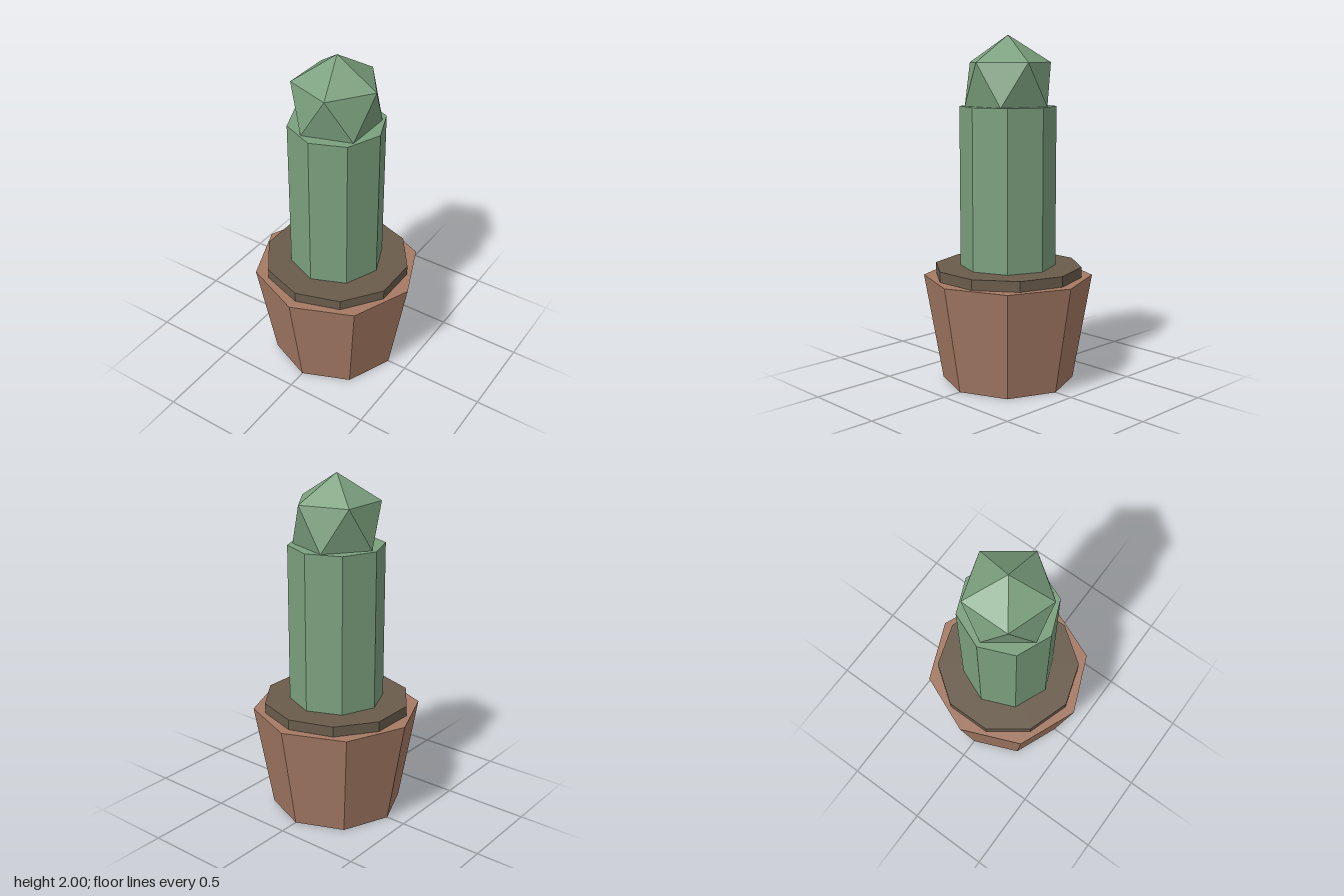
import * as THREE from 'three';

function addPart(group, name, geometry, color, y) {
  const material = new THREE.MeshStandardMaterial({ color, flatShading: true });
  const mesh = new THREE.Mesh(geometry, material);
  mesh.name = name;
  mesh.position.y = y;
  group.add(mesh);
}

// Faceted cylinder spanning bottom to top
function addPrism(group, name, rTop, rBottom, bottom, top, sides, color) {
  const geometry = new THREE.CylinderGeometry(rTop, rBottom, top - bottom, sides);
  addPart(group, name, geometry, color, (top + bottom) / 2);
}

export function createModel() {
  const group = new THREE.Group();
  group.name = 'pottedCactus';
  const green = 0x7ba07e;

  // Tapered pot, soil disc and stem
  addPrism(group, 'pot', 0.491, 0.383, 0, 0.62, 8, 0xa57a64);
  addPrism(group, 'soil', 0.43, 0.43, 0.56, 0.68, 10, 0x6a5c4c);
  addPrism(group, 'stem', 0.276, 0.276, 0.62, 1.602, 8, green);

  // Icosahedral cap, turned so one corner points straight up
  const capRadius = 0.276;
  const cap = new THREE.IcosahedronGeometry(capRadius, 0);
  cap.rotateZ(-Math.atan(2 / (1 + Math.sqrt(5))));
  addPart(group, 'cap', cap, green, 2 - capRadius);

  return group;
}
